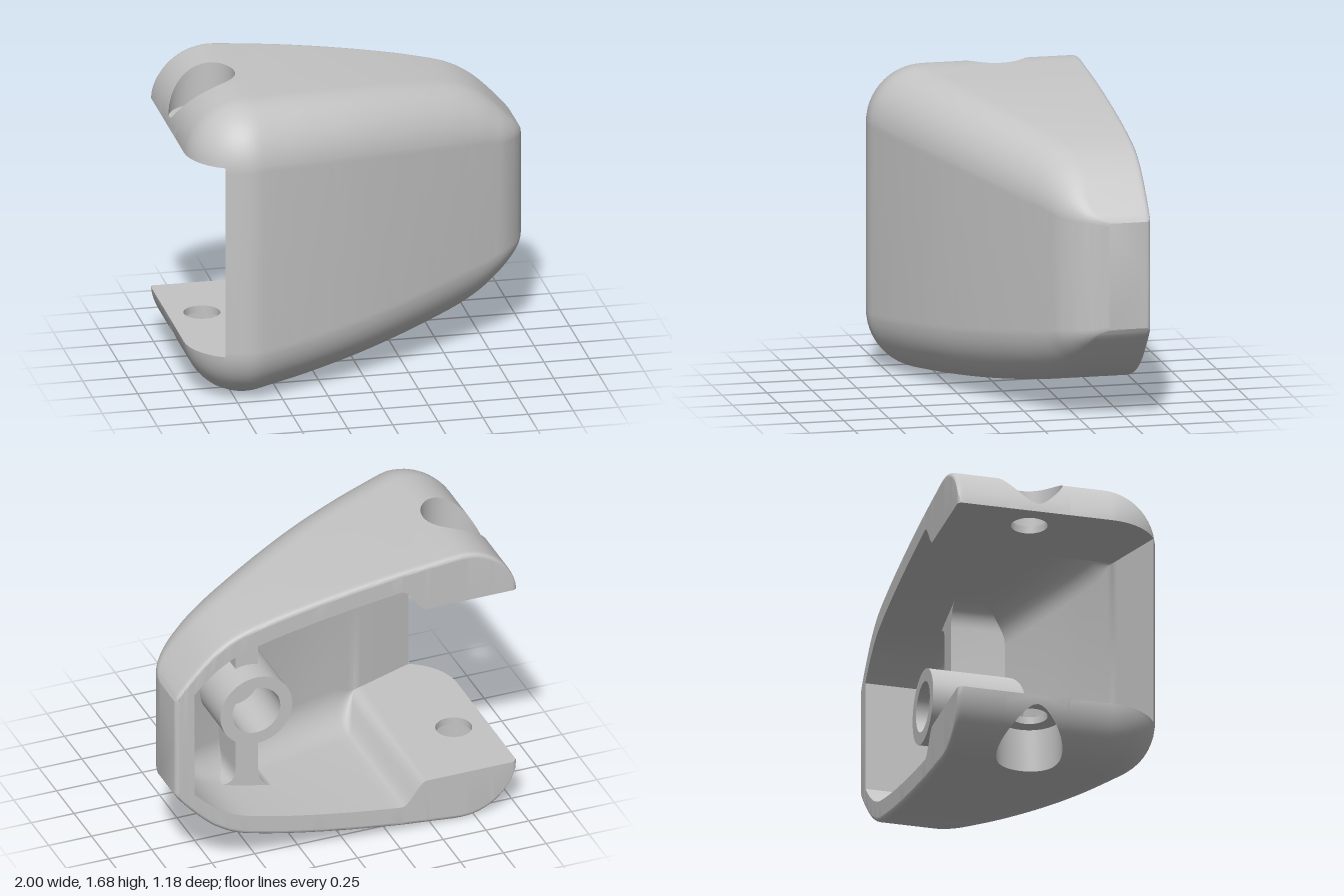
import * as THREE from 'three';
import { toCreasedNormals } from 'three/addons/utils/BufferGeometryUtils.js';

const MID = 0.838, BACK = -0.59, R0 = 0.32, XC = -0.68;   // mid height, rim plane, corner ball
const XL = -0.9986, XF = -0.83, XB = -0.6214;             // arm tip, front wall edge, end of hole patch
const XS = -0.47, XT = -0.32, XI = 0.89;                  // block end, step end, inner end wall
const NOTCH = 0.548, FLOOR = 0.59, BEVEL = 0.025;         // arm inner face, counterbore floor, rim rounding
const HX = -0.81, HZ = -0.14, HP = 0.1886;                // screw hole centre, patch half size
const Q = Math.PI / 2;

// Smooth cubic through [x, value] points
function curve(pts) {
  const n = pts.length;
  const m = pts.map((p, i) => {
    const a = pts[Math.max(i - 1, 0)], b = pts[Math.min(i + 1, n - 1)];
    return i === 0 ? 0 : (b[1] - a[1]) / (b[0] - a[0]);
  });
  return (x) => {
    let i = 0;
    while (i < n - 2 && x > pts[i + 1][0]) i++;
    const [x0, a] = pts[i], [x1, b] = pts[i + 1], h = x1 - x0;
    const t = Math.min(Math.max((x - x0) / h, 0), 1), u = 1 - t;
    return a * u * u * (1 + 2 * t) + b * t * t * (3 - 2 * t) + h * t * u * (m[i] * u - m[i + 1] * t);
  };
}
const hBody = curve([[XC, 0.838], [-0.5, 0.823], [-0.3, 0.803], [0, 0.762], [0.3, 0.71], [0.5, 0.666],
  [0.62, 0.632], [0.72, 0.583], [0.81, 0.515], [0.92, 0.403], [0.98, 0.33], [1, 0.295]]);
const fBody = curve([[XC, 0.59], [-0.58, 0.567], [-0.3, 0.467], [0, 0.343], [0.4, 0.147], [0.83, -0.09],
  [0.9, -0.145], [0.96, -0.22], [0.99, -0.295], [1, -0.36]]);
const rBody = curve([[XC, R0], [0, 0.31], [0.6, 0.28], [0.8, 0.2], [0.9, 0.12], [1, 0.02]]);

// Half height, front depth and fillet radius along x; the left end rounds off like a ball
const drop = (x) => (x < XC ? R0 - Math.sqrt(R0 * R0 - (XC - x) ** 2) : 0);
const H = (x) => hBody(x) - drop(x);
const F = (x) => fBody(x) - drop(x);
const R = (x) => rBody(x) - drop(x);
const step = (x) => THREE.MathUtils.smoothstep(x, XS, XT);
const Hi = (x) => THREE.MathUtils.lerp(NOTCH, H(x) - 0.12, step(x));
const Ri = (x) => Math.max(R(x) - 0.12, 0.02) * step(x);
// Inner front wall runs straight on to a thin edge at the notch
const Fi = (x) => (x > -0.55 ? F(x) - 0.105
  : THREE.MathUtils.mapLinear(x, -0.55, XF, F(-0.55) - 0.105, F(XF)));
const range = (a, b, n, ease = (t) => t) => Array.from({ length: n + 1 }, (_, i) => a + (b - a) * ease(i / n));

// Fillet between two angles, in [y, z]
const arc = (h, f, r, a0, a1, n = 12) => range(a0, a1, n)
  .map((a) => [h - r + r * Math.sin(a), f - r + r * Math.cos(a)]);
const clip = (x) => Math.asin(Math.min(Math.max((NOTCH - H(x) + R(x)) / R(x), 0), 1));
// Rounded back edge, in [y, z, x]
const edge = (x) => range(0, Q, 4).map((a) => {
  const d = BEVEL * (1 - Math.cos(a));
  return [Math.max(H(x) - d, x < XB ? NOTCH : 0), BACK + BEVEL * (1 - Math.sin(a)),
    Math.min(Math.max(x, XL + d), 1 - d)];
});

function buildShell() {
  const pos = [];
  const tri = (a, b, c) => {
    pos.push(...a, ...b, ...c);
    for (const v of [a, c, b]) pos.push(v[0], -v[1], v[2]);
  };
  const grid = (rows, flip = false) => {
    for (let i = 0; i + 1 < rows.length; i++) for (let j = 0; j + 1 < rows[i].length; j++) {
      const a = rows[i][j], b = rows[i + 1][j], c = rows[i + 1][j + 1], d = rows[i][j + 1];
      if (flip) { tri(a, c, b); tri(a, d, c); } else { tri(a, b, c); tri(a, c, d); }
    }
  };
  const loft = (xs, fn, flip) => grid(xs.map((x) => fn(x).map(([y, z, px = x]) => [px, y, z])), flip);

  const wallXs = range(XF, XB, 8);
  const tipXs = range(Q, Math.asin((XC - XF) / (XC - XL)), 14).map((a) => XC - (XC - XL) * Math.sin(a));
  const armXs = [...tipXs.slice(0, -1), ...wallXs];
  const bodyXs = [...range(XB, 0.6, 24), ...range(0.6, 1, 28, (t) => 1 - (1 - t) ** 2).slice(1)];
  const innerXs = [...range(XS, XT, 12), ...range(XT, 0.6, 14).slice(1), ...range(0.6, XI, 10).slice(1)];
  const split = clip(XB);

  // Outer skin: body, front wall and arm
  loft(bodyXs, (x) => [[0, F(x)], ...arc(H(x), F(x), R(x), 0, split, 4),
    ...arc(H(x), F(x), R(x), split, Q).slice(1), [H(x), BACK + 0.04], ...edge(x)]);
  loft(wallXs, (x) => [[0, F(x)], ...arc(H(x), F(x), R(x), 0, clip(x), 4)]);
  loft(armXs, (x) => [...arc(H(x), F(x), R(x), clip(x), Q), [H(x), HZ + HP]]);
  loft(armXs, (x) => [[H(x), HZ - HP], [H(x), BACK + 0.04], ...edge(x)]);
  const endZ = [...edge(1).reverse().map(([, z, x]) => [x, z]), [1, F(1)]];
  grid([endZ.map(([x, z]) => [x, 0, z]), endZ.map(([x, z]) => [x, H(1) - 1 + x, z])]);

  // Inner skin and end wall
  loft(innerXs, (x) => [[0, Fi(x)], ...arc(Hi(x), Fi(x), Ri(x), 0, Q, 8), [Hi(x), BACK]], true);
  loft(range(XF, XS, 12), (x) => [[0, Fi(x)], [NOTCH, Fi(x)]], true);
  grid([[[XI, 0, BACK], [XI, Hi(XI), BACK]], [[XI, 0, Fi(XI)], [XI, Hi(XI), Fi(XI)]]]);

  // Back rim
  const rim = (x, inner) => {
    const [y, z, px] = edge(x)[4];
    return [[y, z, px], [Math.max(y - 0.004, inner), z, px], [inner, z, px]];
  };
  loft([...armXs, ...range(XB, XS, 4).slice(1), ...innerXs.slice(1)], (x) => rim(x, Hi(x)));
  loft(range(XI, 1, 8), (x) => rim(x, 0));

  // Counterbored screw hole, its rim patch sharing the arm's stations
  const angles = [-1, 1].flatMap((s) => [
    ...armXs.map((x) => Math.atan2(s * HP, x - HX)),
    ...range(-HP, HP, 14).slice(1, -1).map((z) => Math.atan2(z, s * HP)),
  ]).sort((a, b) => a - b);
  angles.push(angles[0] + Math.PI * 2);
  const ring = (rows) => grid(angles.map((a) => rows.map(([r, y]) => {
    const x = HX + r(a) * Math.cos(a);
    return [x, y(x), HZ + r(a) * Math.sin(a)];
  })));
  const box = (a) => HP / Math.max(Math.abs(Math.cos(a)), Math.abs(Math.sin(a)));
  const wide = () => 0.18, narrow = () => 0.1, floor = () => FLOOR;
  ring(range(0, 1, 6).map((t) => [(a) => 0.18 + (box(a) - 0.18) * t, H]));
  ring([[wide, floor], [wide, H]]);
  ring([[narrow, floor], [wide, floor]]);
  ring([[narrow, () => NOTCH], [narrow, floor]]);

  // Flat inner face of the arm
  const front = [...tipXs].reverse()
    .map((x) => new THREE.Vector2(x, F(x) - R(x) + R(x) * Math.cos(clip(x))));
  const face = new THREE.Shape([new THREE.Vector2(XL, BACK + BEVEL), new THREE.Vector2(XL + BEVEL, BACK),
    new THREE.Vector2(XS, BACK), ...range(XS, XF, 8).slice(0, -1).map((x) => new THREE.Vector2(x, Fi(x))), ...front]);
  face.holes.push(new THREE.Path().absarc(HX, HZ, 0.1, 0, Math.PI * 2, true));
  const p = new THREE.ShapeGeometry(face, 32).toNonIndexed().attributes.position;
  for (let i = 0; i < p.count; i += 3) {
    tri(...[0, 1, 2].map((k) => [p.getX(i + k), NOTCH, p.getY(i + k)]));
  }

  const geo = new THREE.BufferGeometry();
  geo.setAttribute('position', new THREE.Float32BufferAttribute(pos, 3));
  return toCreasedNormals(geo, 0.5);
}

// Push the far end of a part onto the sloping front wall
function seat(geo, bias) {
  const p = geo.attributes.position;
  for (let i = 0; i < p.count; i++) if (p.getZ(i) > 0.2) p.setZ(i, Fi(p.getX(i)) + bias);
  return toCreasedNormals(geo, 0.5);
}

export function createModel() {
  const group = new THREE.Group();
  const grey = new THREE.MeshStandardMaterial({ color: 0xc4c4c4, side: THREE.DoubleSide });
  grey.name = 'light grey';
  const add = (name, geo) => {
    const mesh = new THREE.Mesh(geo, grey);
    mesh.name = name;
    mesh.position.y = MID;
    group.add(mesh);
  };

  add('shell', buildShell());

  // Hollow boss behind the front wall
  const BX = 0.445;
  const profile = [[0, -0.08], [0.14, -0.08], [0.14, -0.39], [0.21, -0.39], [0.21, 0.5]]
    .map(([r, z]) => new THREE.Vector2(r, -z));
  const boss = new THREE.LatheGeometry(profile, 48);
  boss.rotateX(-Q).translate(BX, 0, 0);
  add('boss', seat(boss, 0.03));

  // Ribs that flare into the sloping upper and lower walls
  for (const s of [1, -1]) {
    const w = 0.065, e = 0.17;
    const wall = (x, d) => [x, s * (Hi(x) + d)];
    const shape = new THREE.Shape();
    shape.moveTo(BX - w, s * 0.18);
    shape.lineTo(BX + w, s * 0.18);
    shape.lineTo(...wall(BX + w, -0.11));
    shape.quadraticCurveTo(...wall(BX + w, 0), ...wall(BX + e, 0.005));
    shape.lineTo(...wall(BX + e, 0.025));
    shape.lineTo(...wall(BX, 0.025));
    shape.lineTo(...wall(BX - e, 0.025));
    shape.lineTo(...wall(BX - e, 0.005));
    shape.quadraticCurveTo(...wall(BX - w, 0), ...wall(BX - w, -0.11));
    const rib = new THREE.ExtrudeGeometry(shape, { depth: 0.75, bevelEnabled: false, curveSegments: 8 });
    rib.translate(0, 0, -0.25);
    add(s > 0 ? 'upperRib' : 'lowerRib', seat(rib, 0));
  }
  return group;
}
